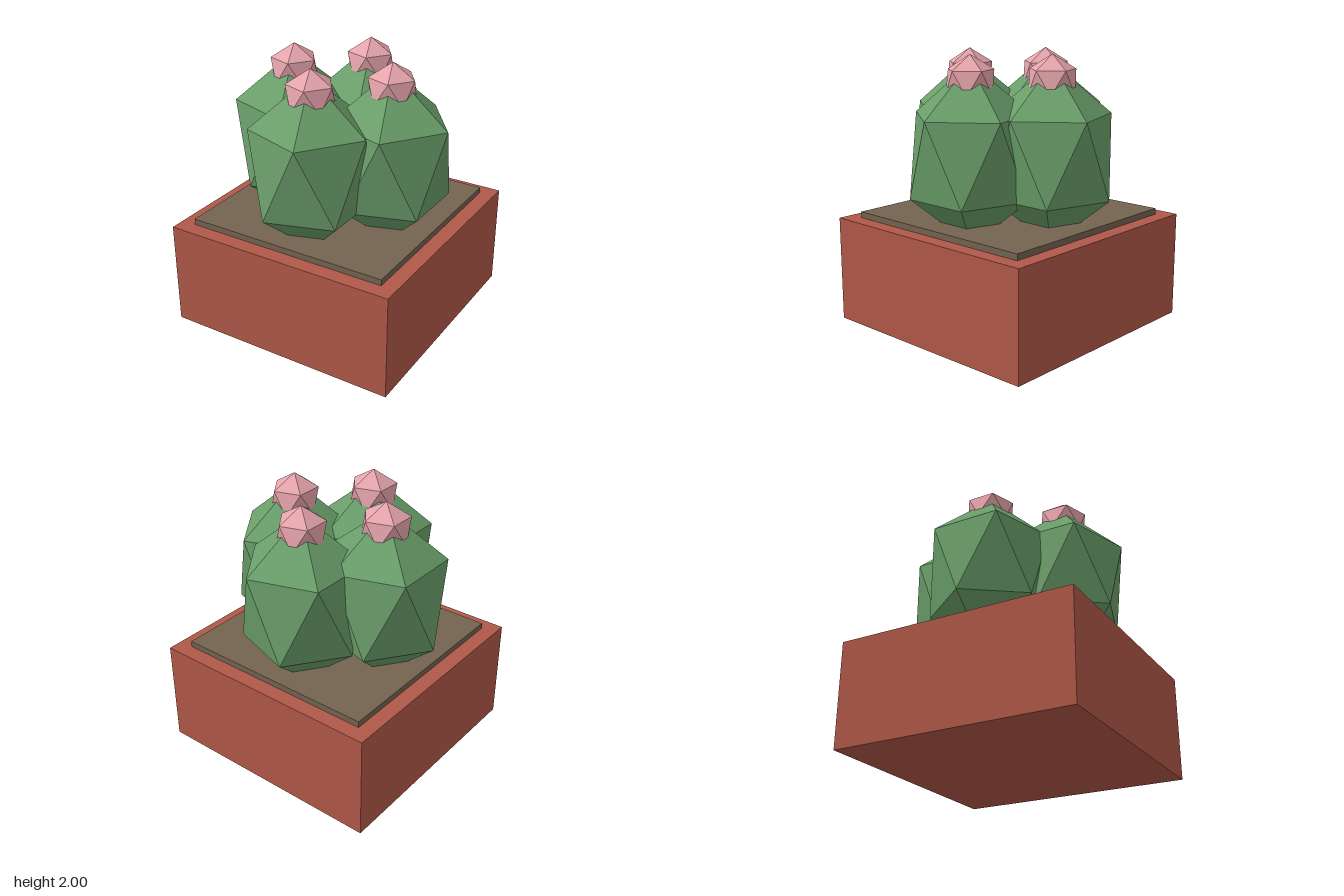
import * as THREE from 'three';

const paint = (color) => new THREE.MeshStandardMaterial({ color, flatShading: true });

// Icosahedron standing on a point, upper ring with a corner on +x
function uprightIcosahedron(radius, height) {
  const ring = (y, offset) => Array.from({ length: 5 }, (_, i) => {
    const a = (i + offset) * Math.PI * 2 / 5;
    const r = radius * 2 / Math.sqrt(5);
    return [Math.cos(a) * r, y, Math.sin(a) * r];
  });
  const h = height / 2;
  const upper = ring(h / Math.sqrt(5), 0);
  const lower = ring(-h / Math.sqrt(5), 0.5);
  const points = [];
  for (let i = 0; i < 5; i++) {
    const j = (i + 1) % 5;
    points.push([0, h, 0], upper[j], upper[i]);
    points.push(upper[i], upper[j], lower[i]);
    points.push(upper[j], lower[j], lower[i]);
    points.push([0, -h, 0], lower[i], lower[j]);
  }
  const geometry = new THREE.BufferGeometry();
  geometry.setAttribute('position', new THREE.Float32BufferAttribute(points.flat(), 3));
  geometry.computeVertexNormals();
  return geometry;
}

export function createModel() {
  const model = new THREE.Group();

  const add = (parent, name, geometry, material, x, y, z) => {
    const mesh = new THREE.Mesh(geometry, material);
    mesh.name = name;
    mesh.position.set(x, y, z);
    parent.add(mesh);
  };

  // Square pot and the slab of soil on it
  add(model, 'pot', new THREE.BoxGeometry(1.77, 0.78, 1.77), paint(0xb05848), 0, 0.39, 0);
  add(model, 'soil', new THREE.BoxGeometry(1.545, 0.1, 1.545), paint(0x746350), 0, 0.775, 0);

  // Four cacti in a cross, each with a flower on top
  const green = paint(0x6a9e6a);
  const pink = paint(0xe6a4ac);
  const bodyGeometry = uprightIcosahedron(0.482, 1.3);
  const flowerGeometry = uprightIcosahedron(0.19, 0.38);
  const spots = { left: [0.4, 0], right: [-0.4, 0], front: [0, 0.4], back: [0, -0.4] };
  for (const [side, [x, z]] of Object.entries(spots)) {
    const cactus = new THREE.Group();
    cactus.name = side + 'Cactus';
    cactus.position.set(x, 0, z);
    add(cactus, 'cactusBody', bodyGeometry, green, 0, 1.29, 0);
    add(cactus, 'flower', flowerGeometry, pink, 0, 1.81, 0);
    model.add(cactus);
  }

  return model;
}
